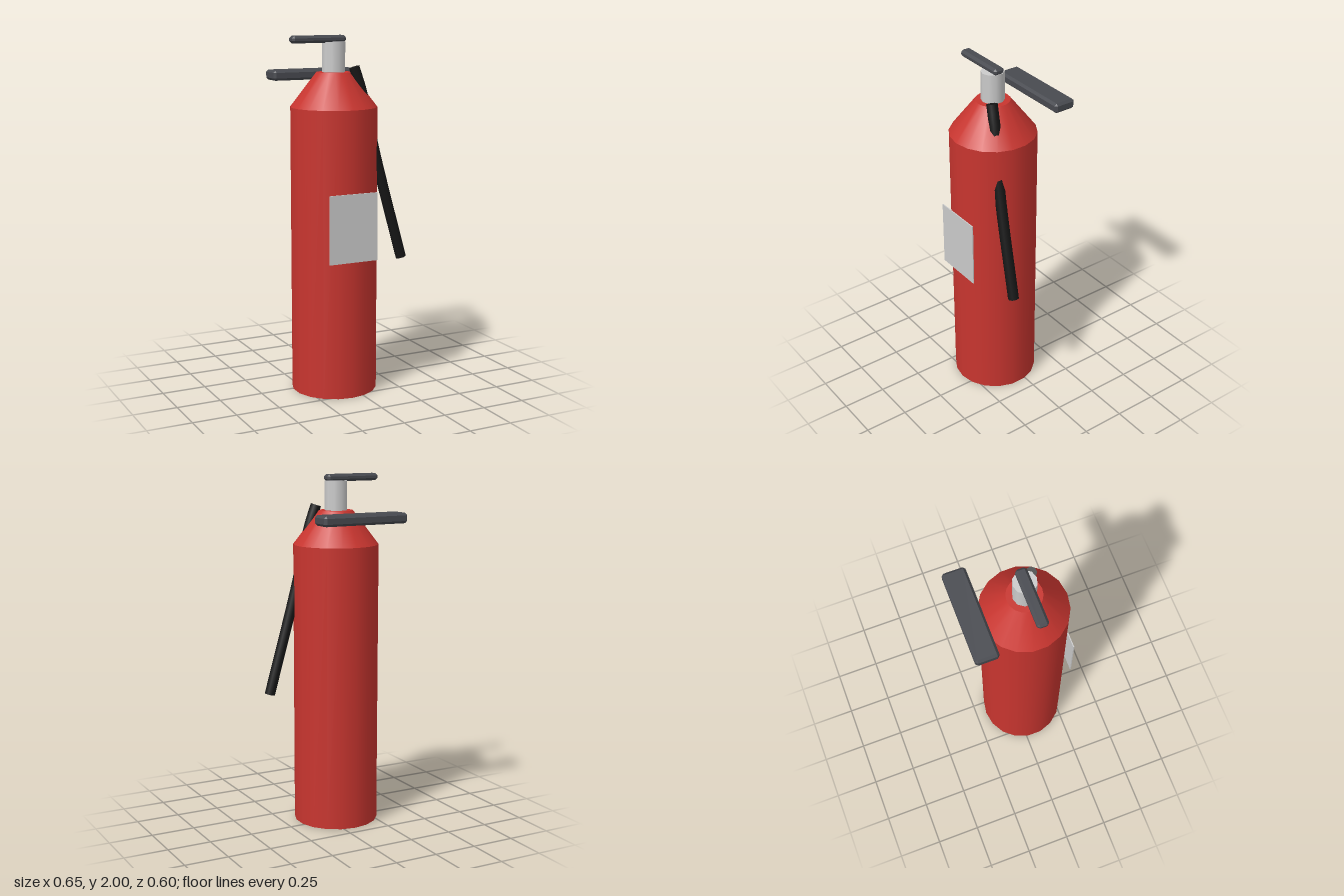
import * as THREE from 'three';
import { ConvexGeometry } from 'three/addons/geometries/ConvexGeometry.js';

const CX = -0.07, CZ = 0.052; // axis of the bottle

const paint = (color) => new THREE.MeshStandardMaterial({ color });

// Box with every edge cut at 45 degrees, given by its min and max corners
function chamferedBox(min, max, cut) {
  const points = [];
  for (let i = 0; i < 8; i++) {
    const s = [i & 1, (i >> 1) & 1, i >> 2];
    for (let face = 0; face < 3; face++) {
      const p = s.map((side, axis) => {
        const inset = axis === face ? 0 : cut;
        return side ? max[axis] - inset : min[axis] + inset;
      });
      points.push(new THREE.Vector3(...p));
    }
  }
  return new ConvexGeometry(points);
}

export function createModel() {
  const model = new THREE.Group();
  const red = paint(0xc8352f), grey = paint(0xcccccc);
  const dark = paint(0x484a50), black = paint(0x161616);

  function add(name, geometry, material, x = 0, y = 0, z = 0) {
    const mesh = new THREE.Mesh(geometry, material);
    mesh.name = name;
    mesh.position.set(x, y, z);
    model.add(mesh);
    return mesh;
  }

  // Bottle, shoulder and valve stem
  add('body', new THREE.CylinderGeometry(0.241, 0.241, 1.61, 18), red, CX, 0.805, CZ);
  add('shoulder', new THREE.CylinderGeometry(0.096, 0.241, 0.19, 18), red, CX, 1.705, CZ);
  add('valve', new THREE.CylinderGeometry(0.064, 0.064, 0.175, 10), grey, CX, 1.8775, CZ);

  // Lever on the valve and carrying handle behind it
  add('lever', chamferedBox([-0.327, 1.96, 0.02], [-0.005, 2, 0.083], 0.013), dark);
  add('handle', chamferedBox([-0.327, 1.743, -0.302], [0.187, 1.8, -0.174], 0.013), dark);

  // Label plate on the front
  add('label', new THREE.BoxGeometry(0.29, 0.38, 0.006), grey, CX, 0.968, 0.297);

  // Hose, dipping through the shoulder and out of the side
  const path = new THREE.CatmullRomCurve3([
    new THREE.Vector3(0.02, 1.828, 0.122),
    new THREE.Vector3(0.06, 1.7, 0.132),
    new THREE.Vector3(0.134, 1.35, 0.156),
    new THREE.Vector3(0.291, 0.751, 0.18),
  ]);
  const radius = 0.031;
  add('hose', new THREE.TubeGeometry(path, 20, radius, 8), black);

  // Closed hose ends
  for (const [name, t, sign] of [['hoseTop', 0, -1], ['hoseTip', 1, 1]]) {
    const end = path.getPoint(t);
    const cap = add(name, new THREE.CircleGeometry(radius, 8), black, end.x, end.y, end.z);
    cap.lookAt(end.clone().addScaledVector(path.getTangent(t), sign));
  }
  return model;
}
